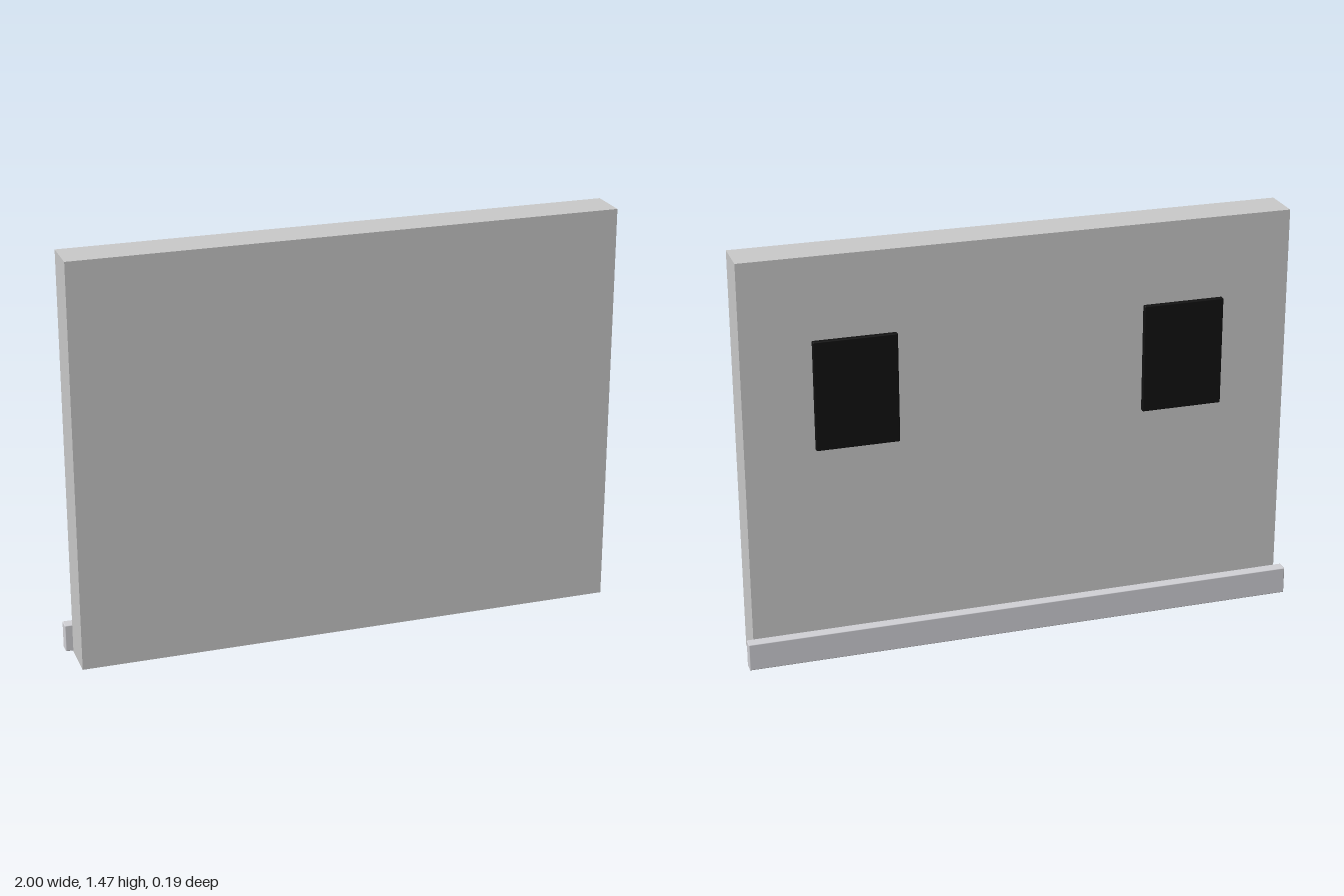
import * as THREE from 'three';
import { RoundedBoxGeometry } from 'three/addons/geometries/RoundedBoxGeometry.js';

// Adds a box given by its limits on each axis; a bevel softens its edges
function addBox(group, name, color, [x0, x1], [y0, y1], [z0, z1], bevel = 0) {
  const size = [x1 - x0, y1 - y0, z1 - z0];
  const geometry = bevel
    ? new RoundedBoxGeometry(...size, 2, bevel)
    : new THREE.BoxGeometry(...size);
  const mesh = new THREE.Mesh(geometry, new THREE.MeshStandardMaterial({ color }));
  mesh.name = name;
  mesh.position.set((x0 + x1) / 2, (y0 + y1) / 2, (z0 + z1) / 2);
  group.add(mesh);
}

export function createModel() {
  const model = new THREE.Group();
  model.name = 'wallPanel';

  // Main slab
  addBox(model, 'wall', 0xcccccc, [-0.975, 0.975], [0, 1.465], [-0.05, 0.097]);

  // Strip along the foot of the back, just clear of the wall
  addBox(model, 'baseboard', 0xd2d2d7, [-1, 1], [0.001, 0.1], [-0.097, -0.056], 0.003);

  // Pair of dark panes on the back
  for (const side of [-1, 1]) {
    const name = side < 0 ? 'rightPane' : 'leftPane';
    const x = side * 0.585;
    addBox(model, name, 0x111111, [x - 0.146, x + 0.146], [0.78, 1.172], [-0.068, -0.048], 0.004);
  }

  return model;
}
